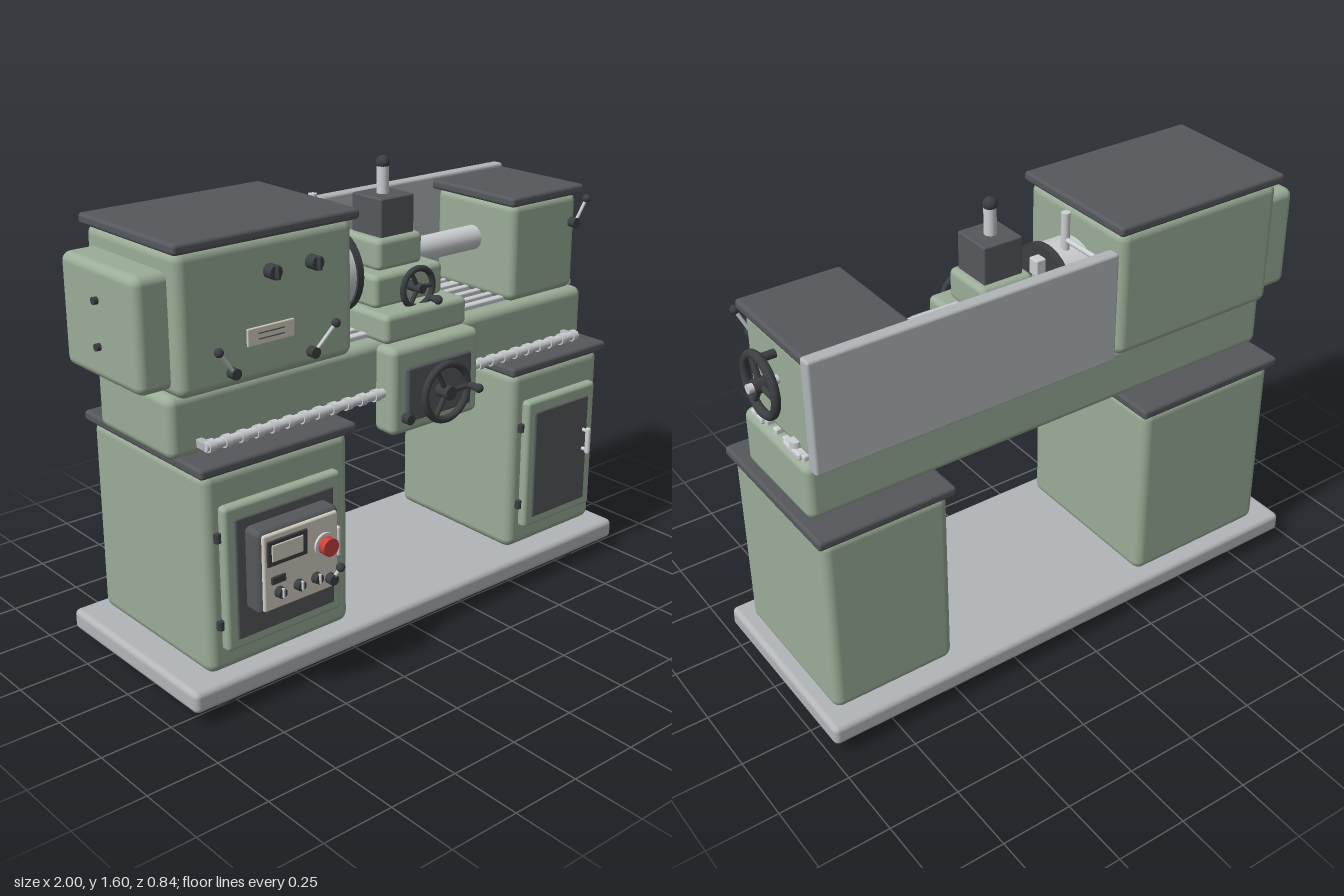
import * as THREE from 'three';
import { RoundedBoxGeometry } from 'three/addons/geometries/RoundedBoxGeometry.js';

const mat = (color) => new THREE.MeshStandardMaterial({ color });
const green = mat(0x9bad98), dark = mat(0x55585c), black = mat(0x3c3f42), grey = mat(0xb2b6b9);
const steel = mat(0xcccfd2), cream = mat(0xd6d2c4), red = mat(0xc9423c);

export function createModel() {
  const model = new THREE.Group();

  const add = (name, geo, material, parent = model) => {
    const mesh = new THREE.Mesh(geo, material);
    mesh.name = name;
    parent.add(mesh);
    return mesh;
  };
  // Rounded box given by its limits on each axis
  const box = (name, m, [x0, x1], [y0, y1], [z0, z1], r = 0.01, parent = model) => {
    const s = [x1 - x0, y1 - y0, z1 - z0];
    const mesh = add(name, new RoundedBoxGeometry(...s, 3, Math.min(r, Math.min(...s) * 0.45)), m, parent);
    mesh.position.set((x0 + x1) / 2, (y0 + y1) / 2, (z0 + z1) / 2);
    return mesh;
  };
  // Cylinder between two points
  const rod = (name, m, a, b, r, parent = model, r2 = r) => {
    const p = new THREE.Vector3(...a), q = new THREE.Vector3(...b), d = q.clone().sub(p);
    const mesh = add(name, new THREE.CylinderGeometry(r2, r, d.length(), 32), m, parent);
    mesh.position.copy(p).add(q).multiplyScalar(0.5);
    mesh.quaternion.setFromUnitVectors(new THREE.Vector3(0, 1, 0), d.normalize());
    return mesh;
  };
  const ball = (name, m, p, r, parent = model) => {
    add(name, new THREE.SphereGeometry(r, 20, 14), m, parent).position.set(...p);
  };
  // Three-spoke wheel facing +z with a crank handle at the given angle
  const handwheel = (name, r, tube, angle, reach) => {
    const g = new THREE.Group();
    g.name = name;
    add('rim', new THREE.TorusGeometry(r - tube, tube, 12, 48), black, g);
    for (let i = 0; i < 3; i++) {
      const a = Math.PI / 2 + i * Math.PI * 2 / 3 + 0.5;
      rod('spoke', black, [0, 0, 0], [Math.cos(a) * (r - tube), Math.sin(a) * (r - tube), 0], tube * 0.7, g);
    }
    rod('hub', black, [0, 0, -0.04], [0, 0, 0.025], r * 0.22, g);
    const hx = Math.cos(angle) * (r - tube), hy = Math.sin(angle) * (r - tube);
    rod('handle', black, [hx, hy, 0], [hx, hy, reach], 0.01, g, 0.014);
    ball('handleEnd', black, [hx, hy, reach], 0.016, g);
    model.add(g);
    return g;
  };
  const lever = (name, a, b, z) => {
    const g = new THREE.Group();
    g.name = name;
    model.add(g);
    rod('pivot', black, [a[0], a[1], z - 0.01], [a[0], a[1], z + 0.03], 0.018, g);
    rod('arm', steel, [a[0], a[1], z + 0.02], [b[0], b[1], z + 0.035], 0.006, g);
    ball('knob', black, [b[0], b[1], z + 0.035], 0.015, g);
  };

  // Base and feet
  box('basePlate', grey, [-0.95, 0.99], [0.05, 0.125], [-0.41, 0.32], 0.02);
  for (const x of [-0.78, 0.81]) for (const z of [-0.29, 0.2]) {
    rod('foot', black, [x, 0, z], [x, 0.03, z], 0.058);
    rod('footCollar', grey, [x, 0.03, z], [x, 0.055, z], 0.04);
  }

  // Cabinets with lids, doors and hinges
  const cabinet = (side, x, z, frame, panel) => {
    box(side + 'Cabinet', green, x, [0.125, 0.81], z, 0.035);
    box(side + 'CabinetLid', dark, [x[0] - 0.018, x[1] + 0.018], [0.805, 0.84], [z[0] - 0.018, z[1] + 0.018], 0.012);
    box(side + 'DoorFrame', green, frame, [0.205, 0.7], [z[1] - 0.02, z[1] + 0.03], 0.015);
    box(side + 'DoorPanel', dark, panel, [0.243, 0.655], [z[1], z[1] + 0.037], 0.005);
    for (const y of [0.3, 0.6])
      rod('hinge', black, [frame[0] - 0.01, y - 0.015, z[1] + 0.006], [frame[0] - 0.01, y + 0.015, z[1] + 0.006], 0.012);
  };
  cabinet('right', [-0.855, -0.285], [-0.365, 0.265], [-0.805, -0.345], [-0.767, -0.382]);
  cabinet('left', [0.49, 0.945], [-0.342, 0.243], [0.543, 0.9], [0.58, 0.858]);
  box('doorHandle', steel, [0.828, 0.846], [0.435, 0.54], [0.295, 0.315], 0.008);
  for (const y of [0.45, 0.525]) rod('handlePost', steel, [0.837, y, 0.27], [0.837, y, 0.3], 0.007);

  // Control box
  box('controlBox', dark, [-0.735, -0.415], [0.34, 0.625], [0.29, 0.37], 0.02);
  box('controlFace', cream, [-0.722, -0.428], [0.352, 0.613], [0.36, 0.378], 0.008);
  box('displayBezel', black, [-0.71, -0.553], [0.505, 0.592], [0.37, 0.384], 0.005);
  box('displayScreen', cream, [-0.695, -0.572], [0.52, 0.578], [0.375, 0.387], 0.004);
  box('switchPlate', black, [-0.695, -0.64], [0.442, 0.468], [0.37, 0.385], 0.004);
  rod('stopCollar', steel, [-0.485, 0.515, 0.37], [-0.485, 0.515, 0.387], 0.04);
  rod('stopButton', red, [-0.485, 0.515, 0.38], [-0.485, 0.515, 0.415], 0.03);
  for (const x of [-0.665, -0.59, -0.52]) {
    rod('controlKnob', black, [x, 0.41, 0.37], [x, 0.41, 0.4], 0.02, model, 0.016);
    box('knobGrip', steel, [x - 0.004, x + 0.004], [0.396, 0.43], [0.395, 0.406], 0.003);
  }
  lever('controlLever', [-0.465, 0.39], [-0.445, 0.432], 0.375);
  box('controlBoxHandle', steel, [-0.41, -0.395], [0.435, 0.54], [0.315, 0.355], 0.007);
  for (const y of [0.445, 0.53]) rod('handlePost', steel, [-0.42, y, 0.335], [-0.4, y, 0.335], 0.008);

  // Bed, rails and lead screw
  box('bed', green, [-0.895, 0.93], [0.83, 1.035], [-0.25, 0.16], 0.03);
  for (const [z, w] of [[0.085, 0.03], [0.03, 0.025], [-0.03, 0.025], [-0.09, 0.025], [-0.15, 0.04], [-0.205, 0.02]])
    box('bedRail', steel, [-0.2, 0.915], [1.025, 1.052], [z - w / 2, z + w / 2], 0.006);
  for (const [z0, z1] of [[0.035, 0.11], [-0.2, -0.1]]) {
    box('railEnd', steel, [0.84, 0.925], [1.03, 1.055], [z0, z1], 0.008);
    rod('railBolt', steel, [0.905, 1.05, (z0 + z1) / 2], [0.905, 1.075, (z0 + z1) / 2], 0.02);
  }
  rod('leadScrew', steel, [-0.8, 0.872, 0.2], [0.86, 0.872, 0.2], 0.016);
  for (let i = 0; i < 28; i++) {
    const x = -0.79 + i * 0.06;
    rod('screwCollar', steel, [x, 0.872, 0.2], [x + 0.022, 0.872, 0.2], 0.021);
  }
  for (const x of [-0.79, 0.83]) box('screwBracket', grey, [x - 0.012, x + 0.012], [0.857, 0.887], [0.15, 0.2], 0.004);

  // Headstock with end cover, knobs and levers
  box('headstock', green, [-0.875, -0.205], [1.03, 1.485], [-0.3, 0.197], 0.035);
  box('headstockLid', dark, [-0.89, -0.195], [1.48, 1.515], [-0.31, 0.215], 0.012);
  box('endCover', green, [-0.985, -0.85], [1.055, 1.42], [-0.27, 0.15], 0.03);
  for (const y of [1.165, 1.31]) rod('coverBolt', black, [-1, y, -0.06], [-0.98, y, -0.06], 0.012);
  for (const x of [-0.54, -0.38]) {
    rod('selectorKnob', black, [x, 1.375, 0.19], [x, 1.375, 0.235], 0.023);
    box('selectorGrip', black, [x - 0.006, x + 0.006], [1.355, 1.4], [0.23, 0.25], 0.004);
  }
  box('dataPlate', cream, [-0.63, -0.45], [1.15, 1.208], [0.19, 0.203], 0.004);
  for (const y of [1.17, 1.188]) box('plateLine', dark, [-0.59, -0.49], [y - 0.002, y + 0.002], [0.2, 0.205], 0.001);
  for (const [px, ex] of [[-0.69, -0.757], [-0.385, -0.31]]) lever('gearLever', [px, 1.085], [ex, 1.17], 0.197);

  // Chuck with jaws and key
  const cy = 1.24, cz = -0.058;
  rod('chuck', steel, [-0.22, cy, cz], [-0.09, cy, cz], 0.138);
  rod('chuckRim', black, [-0.095, cy, cz], [-0.07, cy, cz], 0.146);
  rod('chuckBore', grey, [-0.075, cy, cz], [-0.062, cy, cz], 0.05);
  for (let i = 0; i < 3; i++) {
    const pivot = new THREE.Group();
    pivot.name = 'chuckJaw';
    pivot.position.set(0, cy, cz);
    pivot.rotation.x = i * Math.PI * 2 / 3;
    model.add(pivot);
    box('jaw', steel, [-0.08, -0.035], [0.05, 0.11], [-0.022, 0.022], 0.006, pivot);
  }
  rod('chuckKey', steel, [-0.14, 1.36, -0.09], [-0.14, 1.5, -0.09], 0.015);
  rod('chuckKeyBar', steel, [-0.14, 1.405, -0.27], [-0.14, 1.405, -0.08], 0.009);

  // Carriage, slides and tool post
  box('saddle', green, [-0.07, 0.295], [1.03, 1.13], [-0.25, 0.2], 0.02);
  box('apron', green, [-0.085, 0.31], [0.725, 1.03], [0.15, 0.25], 0.025);
  box('apronPlate', dark, [-0.03, 0.26], [0.77, 0.96], [0.24, 0.265], 0.008);
  box('crossSlide', green, [-0.04, 0.265], [1.125, 1.24], [-0.175, 0.11], 0.02);
  box('compoundSlide', green, [0.012, 0.212], [1.235, 1.345], [-0.13, 0.065], 0.02);
  box('toolPost', dark, [0.04, 0.187], [1.34, 1.475], [-0.105, 0.045], 0.006);
  rod('clampPost', steel, [0.112, 1.47, -0.03], [0.112, 1.58, -0.03], 0.021);
  ball('clampKnob', black, [0.112, 1.578, -0.03], 0.024);
  rod('crossScrewEnd', steel, [0.112, 1.185, -0.23], [0.112, 1.185, -0.16], 0.014);
  handwheel('crossSlideWheel', 0.077, 0.011, -0.7, 0.045).position.set(0.112, 1.185, 0.15);
  handwheel('apronWheel', 0.11, 0.013, 0.05, 0.055).position.set(0.114, 0.855, 0.295);
  rod('apronKnob', black, [-0.03, 0.785, 0.245], [-0.03, 0.785, 0.28], 0.018);

  // Tailstock with quill, lever and handwheel
  box('tailstock', green, [0.57, 0.9], [1.035, 1.39], [-0.25, 0.14], 0.03);
  box('tailstockLid', dark, [0.552, 0.917], [1.385, 1.42], [-0.26, 0.155], 0.012);
  rod('quill', steel, [0.25, cy, cz], [0.6, cy, cz], 0.044);
  rod('quillCentre', steel, [0.25, cy, cz], [0.2, cy, cz], 0.04, model, 0.008);
  lever('quillLever', [0.87, 1.285], [0.91, 1.37], 0.14);
  rod('wheelShaft', steel, [0.89, cy, cz], [1, cy, cz], 0.015);
  const wheel = handwheel('tailstockWheel', 0.112, 0.015, Math.PI / 2, 0.0);
  wheel.rotation.y = Math.PI / 2;
  wheel.position.set(0.957, cy, cz);
  rod('wheelHandle', black, [0.9, 1.33, cz], [0.955, 1.33, cz], 0.014);

  // Splash guard
  box('splashGuard', grey, [-0.19, 0.925], [1.035, 1.43], [-0.308, -0.262], 0.01);

  return model;
}
